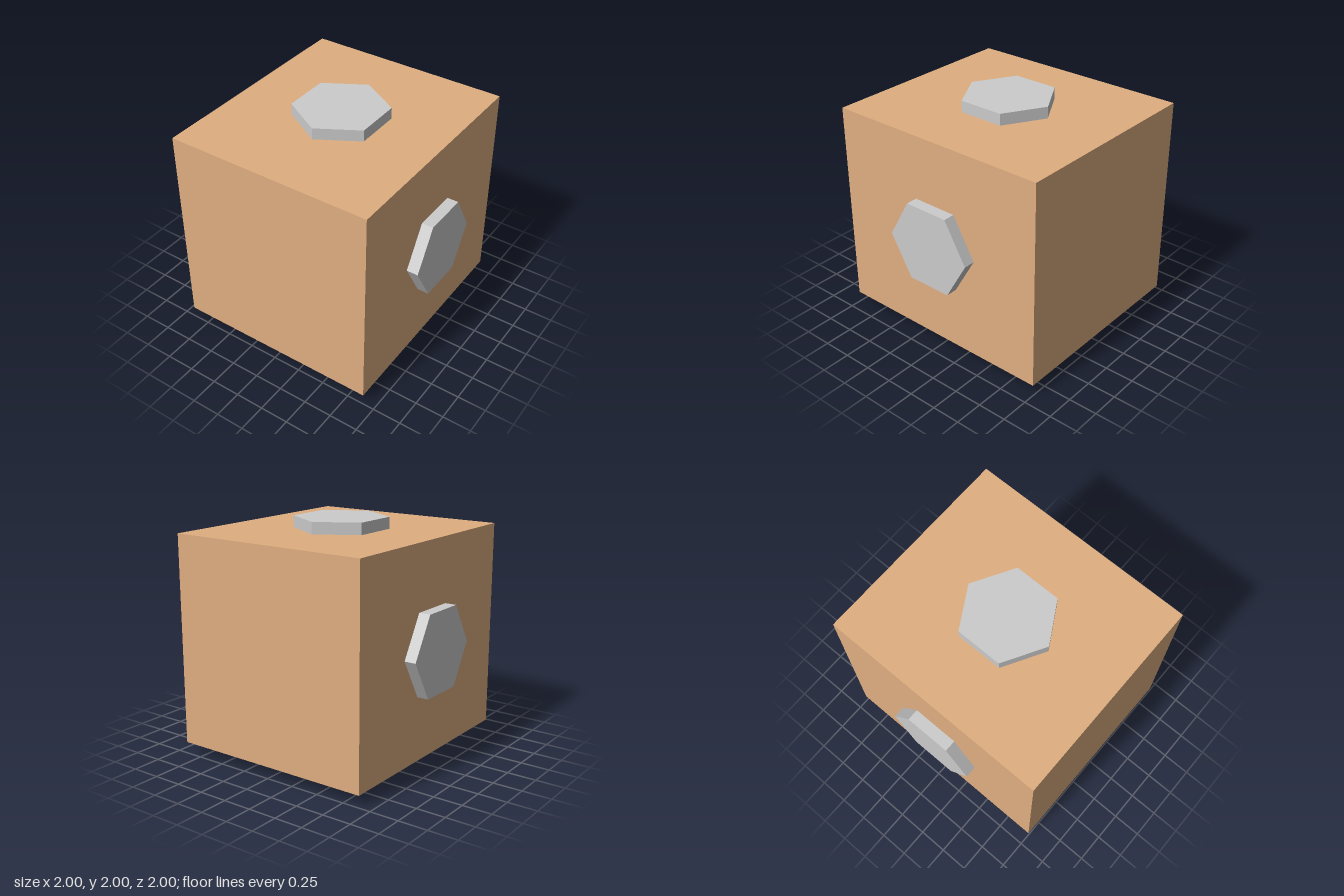
import * as THREE from 'three';

export function createModel() {
  const model = new THREE.Group();
  const wood = new THREE.MeshStandardMaterial({ color: 0xdfae80, flatShading: true });
  const grey = new THREE.MeshStandardMaterial({ color: 0xcccccc, flatShading: true });

  // Main block, slightly deeper than wide
  const block = new THREE.Mesh(new THREE.BoxGeometry(1.8, 1.8, 2), wood);
  block.name = 'block';
  block.position.y = 1;
  model.add(block);

  // Hexagonal pads on the top, bottom and both sides, corners pointing along z
  const padGeometry = new THREE.CylinderGeometry(0.4, 0.4, 0.1, 6);
  ['topPad', 'rightPad', 'bottomPad', 'leftPad'].forEach((name, i) => {
    const angle = i * Math.PI / 2;
    const pad = new THREE.Mesh(padGeometry, grey);
    pad.name = name;
    pad.rotation.z = angle;
    pad.position.set(-0.95 * Math.sin(angle), 1 + 0.95 * Math.cos(angle), 0);
    model.add(pad);
  });

  return model;
}
